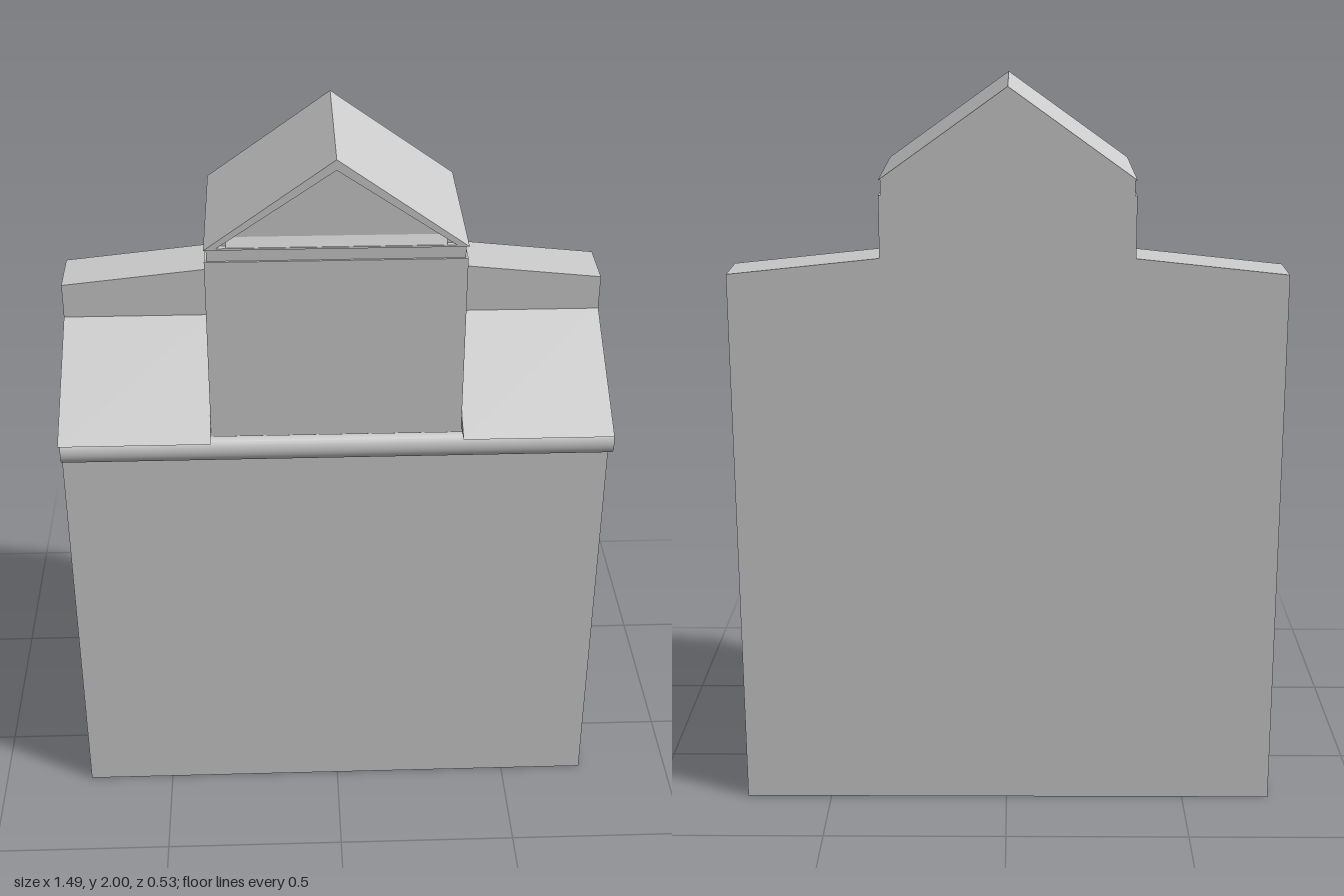
import * as THREE from 'three';

const BACK = -0.265, FRONT = 0.197, CX = -0.0035; // wall planes and middle axis
const HALF = 0.7415, BAY = 0.337;                 // half widths of building and dormer

export function createModel() {
  const model = new THREE.Group();
  const mat = new THREE.MeshStandardMaterial({ color: 0xcccccc, side: THREE.DoubleSide });

  const add = (name, geometry) => {
    const mesh = new THREE.Mesh(geometry, mat);
    mesh.name = name;
    model.add(mesh);
    return mesh;
  };
  const toShape = (pts) => new THREE.Shape(pts.map(([x, y]) => new THREE.Vector2(x, y)));
  const extrude = (shape, depth) => new THREE.ExtrudeGeometry(shape, { depth, bevelEnabled: false });
  const box = (name, w, y0, y1, z0, z1) =>
    add(name, new THREE.BoxGeometry(w, y1 - y0, z1 - z0)).position.set(CX, (y0 + y1) / 2, (z0 + z1) / 2);

  // Main wall block and central dormer
  box('wall', 2 * HALF, 0, 1.22, BACK, FRONT);
  box('dormerWall', 2 * BAY, 1.22, 1.72, BACK, FRONT);
  box('dormerNeck', 2 * BAY - 0.012, 1.72, 1.76, BACK, FRONT - 0.006);

  for (const [side, s] of [['left', 1], ['right', -1]]) {
    // Sloping roof with projecting eave, drawn in z and y and extruded along x
    const roof = extrude(toShape([[BACK, 1.22], [0.265, 1.22], [-0.105, 1.415], [BACK, 1.415]]), HALF - BAY);
    roof.rotateY(-Math.PI / 2);
    add(side + 'Roof', roof).position.x = CX + (s > 0 ? HALF : -BAY);

    // Raised parapet along the back, falling towards the outside
    const pts = [[BAY, 1.415], [HALF, 1.415], [HALF, 1.512], [BAY, 1.555]];
    add(side + 'Parapet', extrude(toShape(pts.map(([x, y]) => [CX + s * x, y])), -0.105 - BACK))
      .position.z = BACK;
  }

  // Gabled dormer roof with a recessed pediment at the front
  const gable = [[CX - BAY, 1.76], [CX + BAY, 1.76], [CX, 2]];
  add('dormerRoof', extrude(toShape(gable), FRONT - BACK)).position.z = BACK;
  const rim = toShape(gable);
  rim.holes.push(new THREE.Path([[-0.305, 1.765], [0, 1.972], [0.305, 1.765]]
    .map(([x, y]) => new THREE.Vector2(CX + x, y))));
  add('pedimentFrame', extrude(rim, 0.015)).position.z = FRONT;

  // Sloped sill along the foot of the pediment
  const sill = extrude(toShape([[FRONT, 1.76], [0.211, 1.762], [FRONT, 1.79]]), 0.56);
  sill.rotateY(-Math.PI / 2);
  add('pedimentSill', sill).position.x = CX + 0.28;

  // Gutter under the eaves
  const gutter = add('gutter', new THREE.CylinderGeometry(0.034, 0.034, 1.484, 24));
  gutter.rotation.z = Math.PI / 2;
  gutter.scale.z = 0.74;
  gutter.position.set(0, 1.184, 0.224);

  return model;
}
